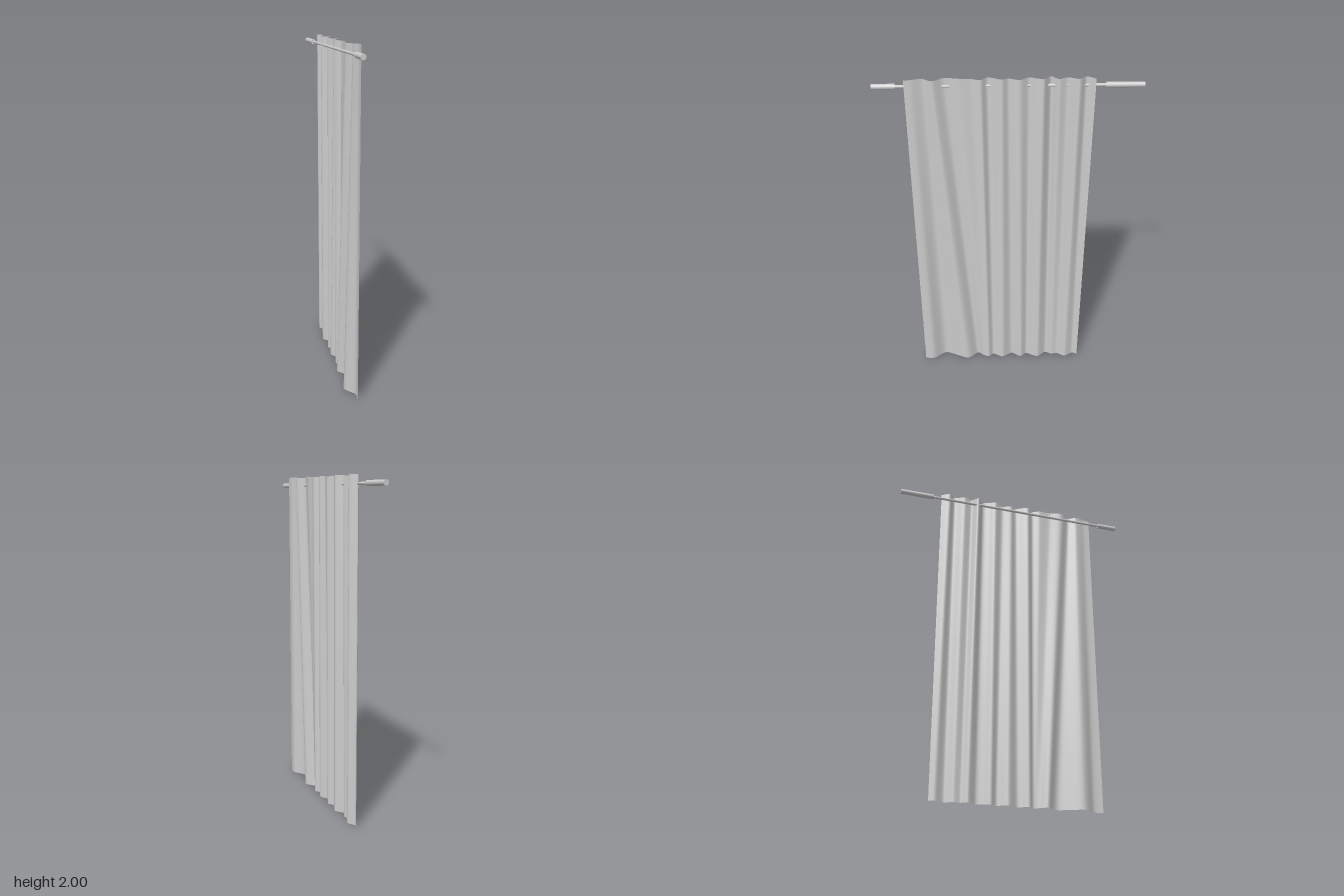
import * as THREE from 'three';

const grey = new THREE.MeshStandardMaterial({ color: 0xcccccc });
const cloth = new THREE.MeshStandardMaterial({ color: 0xcccccc, side: THREE.DoubleSide });

// Fold lines of the cloth as [z, x], matched point by point from hem to hem
const topFolds = [
  [0.56, 0.02], [0.52, 0.018], [0.46, 0.0], [0.41, 0.024], [0.35, -0.013], [0.27, 0.006],
  [0.2, 0.0], [0.15, 0.016], [0.11, -0.014], [0.04, 0.024], [0.0, 0.002], [-0.06, 0.017],
  [-0.11, -0.011], [-0.15, 0.011], [-0.19, 0.02], [-0.23, -0.026], [-0.27, 0.008],
  [-0.32, -0.009], [-0.38, 0.024], [-0.42, -0.012], [-0.47, 0.012],
];
const bottomFolds = [
  [0.56, 0.02], [0.5, 0.02], [0.42, -0.031], [0.28, 0.025], [0.21, -0.023], [0.17, 0.002],
  [0.15, 0.012], [0.13, 0.014], [0.1, -0.008], [0.04, 0.02], [-0.02, -0.015], [-0.08, 0.018],
  [-0.12, -0.01], [-0.16, 0.01], [-0.2, 0.02], [-0.25, -0.018], [-0.29, 0.002],
  [-0.33, -0.004], [-0.38, 0.022], [-0.43, -0.006], [-0.465, 0.005],
];

function foldCurve(points) {
  return new THREE.CatmullRomCurve3(points.map(([z, x]) => new THREE.Vector3(x, 0, z)), false, 'catmullrom', 0.4);
}

// Sheet blended between the upper and lower fold curves
function clothGeometry() {
  const top = foldCurve(topFolds);
  const bottom = foldCurve(bottomFolds);
  const cols = 160, rows = 24;
  const geometry = new THREE.PlaneGeometry(1, 1, cols, rows);
  const position = geometry.attributes.position;
  for (let i = 0; i <= cols; i++) {
    const a = top.getPoint(i / cols);
    const b = bottom.getPoint(i / cols);
    const topY = 1.997 + 0.003 * Math.sin(a.z * 28);
    for (let j = 0; j <= rows; j++) {
      const t = j / rows;
      const p = a.clone().lerp(b, t);
      position.setXYZ(j * (cols + 1) + i, p.x, topY * (1 - t), p.z);
    }
  }
  geometry.computeVertexNormals();
  return geometry;
}

// Cylinder along z between two ends, at rod height
function bar(name, radius, z0, z1) {
  const geometry = new THREE.CylinderGeometry(radius, radius, z1 - z0, 24).rotateX(Math.PI / 2);
  const mesh = new THREE.Mesh(geometry, grey);
  mesh.name = name;
  mesh.position.set(-0.015, 1.95, (z0 + z1) / 2);
  return mesh;
}

export function createModel() {
  const model = new THREE.Group();
  model.name = 'curtain';

  const sheet = new THREE.Mesh(clothGeometry(), cloth);
  sheet.name = 'hangingCloth';

  model.add(
    sheet,
    bar('rod', 0.008, -0.7, 0.7),
    bar('frontRodEnd', 0.0155, 0.61, 0.737),
    bar('backRodEnd', 0.0155, -0.737, -0.527),
  );
  return model;
}
